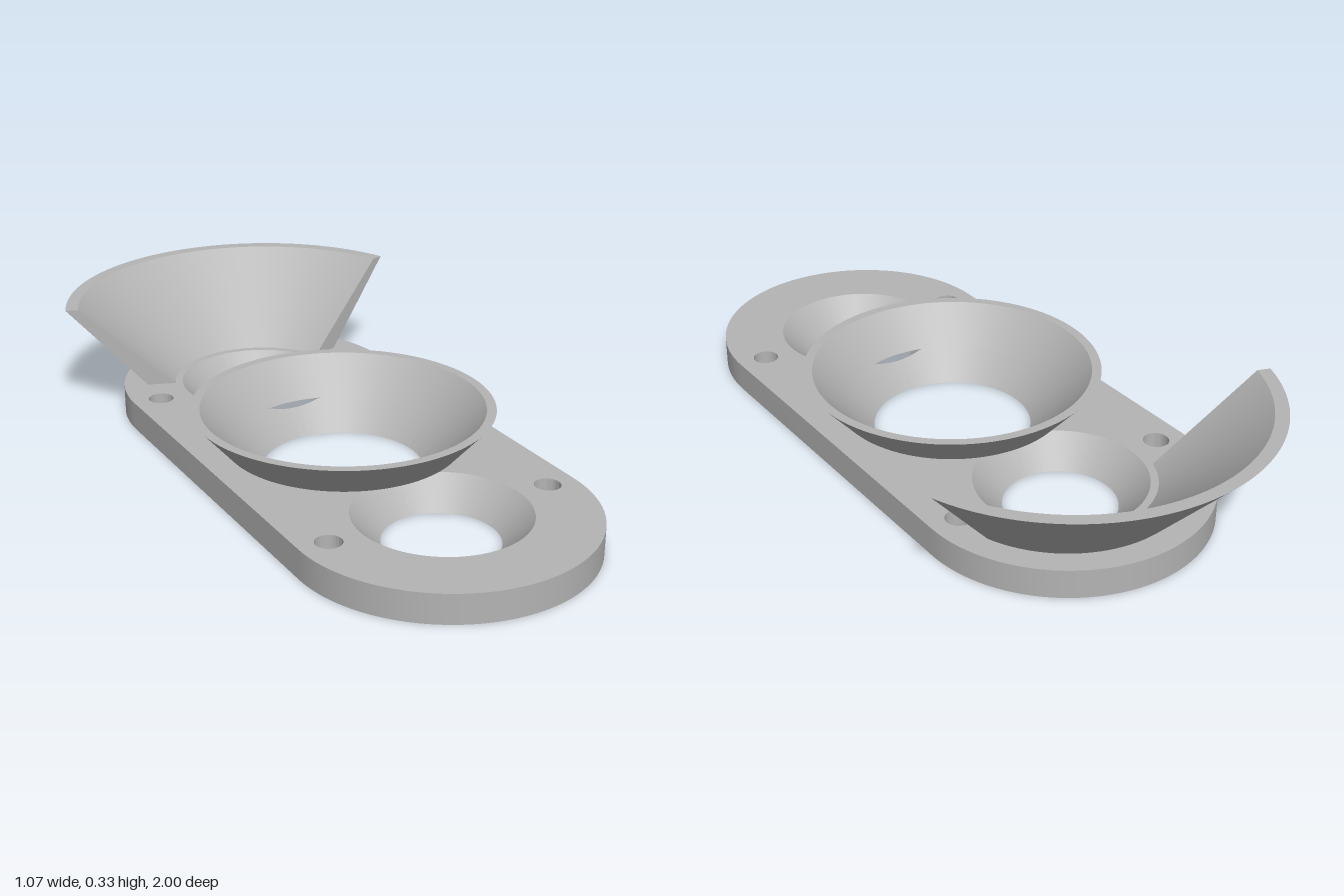
import * as THREE from 'three';
import { mergeGeometries, toCreasedNormals } from 'three/addons/utils/BufferGeometryUtils.js';

const H = 0.082;          // plate thickness
const R = 0.41;           // plate end radius
const D = 0.51;           // spacing of the three openings
const SIDE = { low: 0.155, high: 0.235 };
const MID = { low: 0.225, high: 0.301 };
const SEG = 96;

const radiusAt = (c, y) => c.low + (c.high - c.low) * y / H;

// Keep only positions, as loose triangles
function bare(g) {
  const n = g.index ? g.toNonIndexed() : g;
  const out = new THREE.BufferGeometry();
  out.setAttribute('position', n.attributes.position.clone());
  return out;
}

const join = (parts) => toCreasedNormals(mergeGeometries(parts.map(bare)), 0.5);

function flipped(g) {
  g.setIndex(Array.from(g.index.array).reverse());
  return g;
}

// Rounded plate outline with the four screw holes
function plateShape() {
  const s = new THREE.Shape();
  s.absarc(0, D, R, 0, Math.PI, false);
  s.absarc(0, -D, R, Math.PI, Math.PI * 2, false);
  s.closePath();
  for (const x of [-0.327, 0.327]) {
    for (const y of [-D, D]) s.holes.push(new THREE.Path().absarc(x, y, 0.036, 0, Math.PI * 2, true));
  }
  return s;
}

function plateGeometry() {
  // Underside with three separate round openings
  const under = plateShape();
  for (const [y, r] of [[-D, SIDE.low], [0, MID.low], [D, SIDE.low]]) {
    under.holes.push(new THREE.Path().absarc(0, y, r, 0, Math.PI * 2, true));
  }
  const bottom = flipped(new THREE.ShapeGeometry(under, 48)).rotateX(-Math.PI / 2);

  // Upper face, where the wider openings run into one another
  const a = Math.acos((D * D + MID.high ** 2 - SIDE.high ** 2) / (2 * D * MID.high));
  const b = Math.atan2(MID.high * Math.cos(a) - D, MID.high * Math.sin(a));
  const q = Math.PI / 2 - a;
  const opening = new THREE.Path();
  opening.absarc(0, 0, MID.high, -q, q, false);
  opening.absarc(0, D, SIDE.high, b, Math.PI - b, false);
  opening.absarc(0, 0, MID.high, Math.PI - q, Math.PI + q, false);
  opening.absarc(0, -D, SIDE.high, Math.PI + b, Math.PI * 2 - b, false);
  const upper = plateShape();
  upper.holes.push(opening);
  const top = new THREE.ShapeGeometry(upper, 48).rotateX(-Math.PI / 2).translate(0, H, 0);

  // Outer edge and screw hole walls
  const solid = new THREE.ExtrudeGeometry(plateShape(), { depth: H, bevelEnabled: false, curveSegments: 48 });
  const walls = new THREE.BufferGeometry();
  const start = solid.groups[1].start * 3;
  walls.setAttribute('position', new THREE.BufferAttribute(solid.attributes.position.array.slice(start), 3));
  walls.rotateX(-Math.PI / 2);
  return join([bottom, top, walls]);
}

// Conical opening wall, cut down where it breaks into a neighbour
function countersink(cone, z, neighbours) {
  const g = new THREE.LatheGeometry([new THREE.Vector2(cone.high, H), new THREE.Vector2(cone.low, 0)], SEG * 2);
  const p = g.attributes.position;
  for (let i = 0; i < p.count; i += 2) {
    const phi = (i / 2) / (SEG * 2) * Math.PI * 2;
    const point = (y) => [radiusAt(cone, y) * Math.sin(phi), radiusAt(cone, y) * Math.cos(phi)];
    const cut = (y) => neighbours.some((n) => {
      const [px, pz] = point(y);
      return Math.hypot(px, pz + z - n.z) < radiusAt(n.cone, y);
    });
    let y = H;
    if (cut(H)) {
      let lo = 0;
      for (let k = 0; k < 20; k++) {
        const m = (lo + y) / 2;
        if (cut(m)) y = m; else lo = m;
      }
    }
    const [x, pz] = point(y);
    p.setXYZ(i, x, y, pz);
  }
  return join([g]).translate(0, 0, z);
}

// Solid conical wall swept round the y axis; profile runs anticlockwise
function conicalWall(profile, start = 0, sweep = Math.PI * 2) {
  const pts = profile.map(([r, y]) => new THREE.Vector2(r, y));
  const parts = [new THREE.LatheGeometry([...pts, pts[0].clone()], SEG, start, sweep)];
  if (sweep < Math.PI * 2) {
    const shape = new THREE.Shape(pts);
    parts.push(new THREE.ShapeGeometry(shape).rotateY(start - Math.PI / 2));
    parts.push(flipped(new THREE.ShapeGeometry(shape)).rotateY(start + sweep - Math.PI / 2));
  }
  return join(parts);
}

export function createModel() {
  const grey = new THREE.MeshStandardMaterial({ color: 0xb4b4b4 });
  grey.name = 'plain grey';
  const model = new THREE.Group();
  model.name = 'funnelPlate';
  const add = (name, geometry) => {
    const mesh = new THREE.Mesh(geometry, grey);
    mesh.name = name;
    model.add(mesh);
    return mesh;
  };

  add('basePlate', plateGeometry());

  // Three tapered openings
  const mid = [{ cone: MID, z: 0 }];
  add('frontOpening', countersink(SIDE, D, mid));
  add('backOpening', countersink(SIDE, -D, mid));
  add('middleOpening', countersink(MID, 0, [{ cone: SIDE, z: D }, { cone: SIDE, z: -D }]));

  // Full funnel over the middle opening
  add('middleFunnel', conicalWall([[0.331, H], [0.422, 0.185], [0.395, 0.185], [MID.high, H]]));

  // Partial funnel sheltering the back opening
  const half = THREE.MathUtils.degToRad(70);
  const shield = conicalWall([[0.34, H], [0.57, 0.33], [0.533, 0.33], [0.256, H]], Math.PI - half, half * 2);
  add('backShield', shield).position.z = -D;

  model.position.z = 0.08;
  return model;
}
